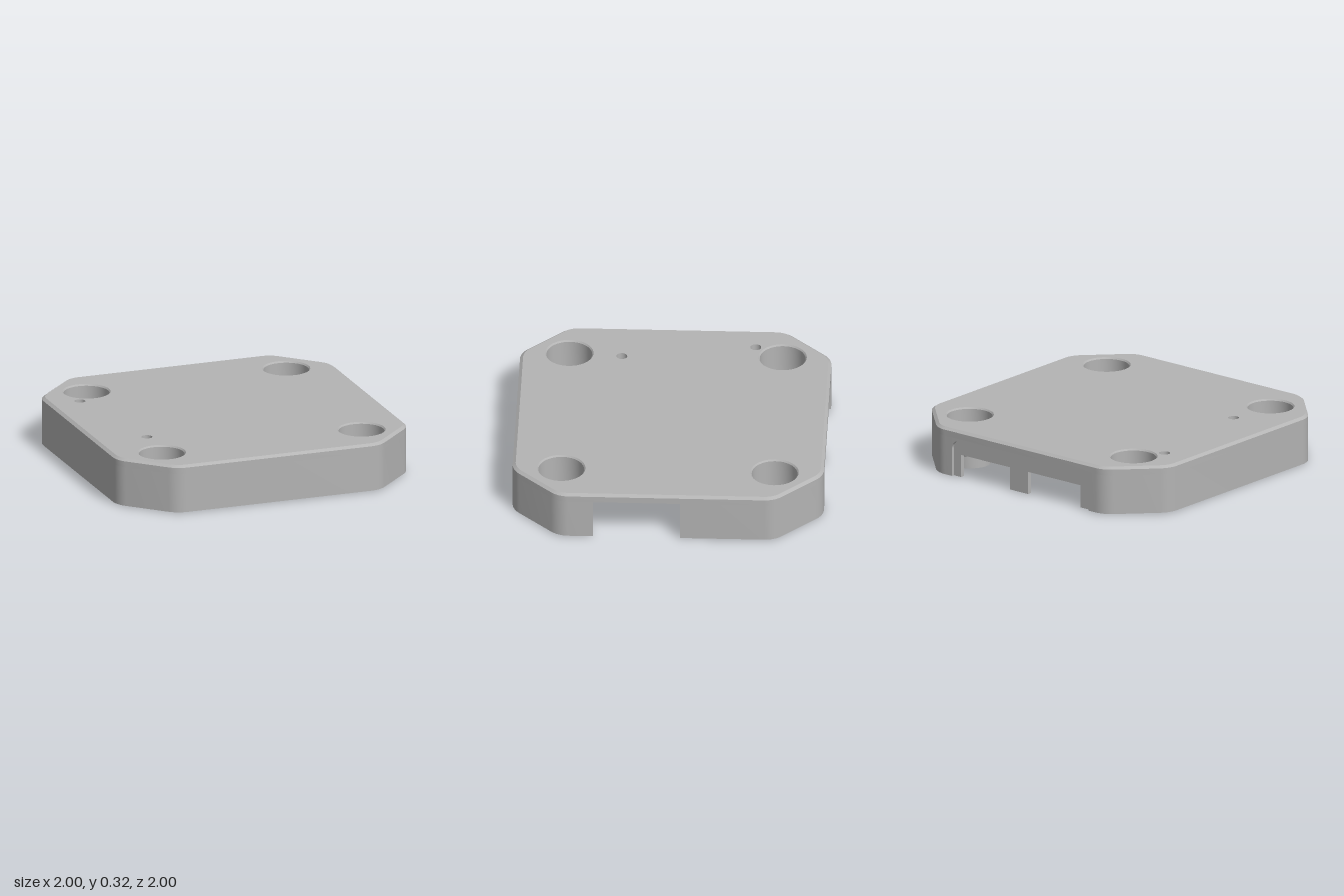
import * as THREE from 'three';
import { toCreasedNormals } from 'three/addons/utils/BufferGeometryUtils.js';

const TOP = 0.32, EDGE = 0.305, ROOF = 0.265, RIM = 0.006; // key heights
const WALL = 0.05, POST = 0.685;
const LED_HOLES = [[-0.797, -0.508], [-0.66, 0.347]];

// One rounded, 45-degree cut corner, inset by d; plan coordinates are (x, -z)
function corner(k, d) {
  const h = 1 - d, c = 1.695 - Math.SQRT2 * d - h, r = 0.16 - d, t = r * Math.tan(Math.PI / 8);
  const pts = [];
  for (const [cx, cy, a0] of [[h - r, c - t, 0], [c - t, h - r, Math.PI / 4]]) {
    for (let i = 0; i <= 8; i++) {
      const a = a0 + (i / 8) * Math.PI / 4;
      pts.push(new THREE.Vector2(cx + r * Math.cos(a), cy + r * Math.sin(a))
        .rotateAround(new THREE.Vector2(), k * Math.PI / 2));
    }
  }
  return pts;
}

const outline = (d) => [0, 1, 2, 3].flatMap((k) => corner(k, d));

// Lid outline with post bores and the two small holes
function lidShape(d, boreRadius) {
  const shape = new THREE.Shape(outline(d));
  const hole = (x, z, r) => shape.holes.push(new THREE.Path().absarc(x, -z, r, 0, Math.PI * 2, true));
  for (const x of [-POST, POST]) for (const z of [-POST, POST]) hole(x, z, boreRadius);
  for (const [x, z] of LED_HOLES) hole(x, z, 0.035);
  return shape;
}

// Upright prism over a plan shape
function prism(shape, y0, y1) {
  const g = new THREE.ExtrudeGeometry(shape, { depth: y1 - y0, bevelEnabled: false, curveSegments: 24 });
  return toCreasedNormals(g.rotateX(-Math.PI / 2).translate(0, y0, 0), 0.5);
}

// Plan of a wall running round the listed corners
function wallShape(corners, start, end) {
  const outer = corners.flatMap((k) => corner(k, 0));
  const inner = corners.flatMap((k) => corner(k, WALL)).reverse();
  const v = (p) => new THREE.Vector2(...p);
  return new THREE.Shape([v(start[0]), ...outer, v(end[0]), v(end[1]), ...inner, v(start[1])]);
}

// Sloping band between the side wall and the top face
function chamferBand() {
  const low = outline(0), high = outline(0.02), n = low.length, pos = [], idx = [];
  for (let i = 0; i < n; i++) {
    pos.push(low[i].x, EDGE, -low[i].y, high[i].x, TOP, -high[i].y);
    const a = 2 * i, b = 2 * ((i + 1) % n);
    idx.push(a, b, b + 1, a, b + 1, a + 1);
  }
  const g = new THREE.BufferGeometry();
  g.setAttribute('position', new THREE.Float32BufferAttribute(pos, 3));
  g.setIndex(idx);
  return toCreasedNormals(g, 0.5);
}

export function createModel() {
  const group = new THREE.Group();
  const grey = new THREE.MeshStandardMaterial({ color: 0xb4b4b4 });
  grey.name = 'grey plastic';
  const add = (name, geometry) => {
    const mesh = new THREE.Mesh(geometry, grey);
    mesh.name = name;
    group.add(mesh);
    return mesh;
  };

  // Lid
  add('lidPlate', prism(lidShape(0, 0.16), ROOF, EDGE));
  add('lidChamfer', chamferBand());
  add('lidTop', new THREE.ShapeGeometry(lidShape(0.02, 0.155), 24).rotateX(-Math.PI / 2).translate(0, TOP, 0));
  for (const [x, z] of LED_HOLES) {
    const bore = new THREE.LatheGeometry([new THREE.Vector2(0.035, TOP), new THREE.Vector2(0.035, ROOF)], 24);
    add('smallHoleBore', bore).position.set(x, 0, z);
  }

  // Side walls, open at the side port and the back recess
  const i = 1 - WALL;
  add('cornerWall', prism(wallShape([0], [[1, 0.09], [i, 0.09]], [[0.57, 1], [0.57, i]]), RIM, ROOF));
  add('mainWall', prism(wallShape([1, 2, 3], [[-0.57, 1], [-0.57, i]], [[1, -0.47], [i, -0.47]]), RIM, ROOF));

  // Outer skin above the round-cornered back recess
  const arch = new THREE.Shape();
  arch.moveTo(-0.57, ROOF);
  arch.lineTo(-0.57, 0.19);
  arch.absarc(-0.51, 0.19, 0.06, Math.PI, Math.PI / 2, true);
  arch.absarc(0.51, 0.19, 0.06, Math.PI / 2, 0, true);
  arch.lineTo(0.57, ROOF);
  arch.closePath();
  const skin = new THREE.ExtrudeGeometry(arch, { depth: 0.02, bevelEnabled: false });
  add('recessArch', toCreasedNormals(skin.translate(0, 0, -1), 0.5));

  // Thin inner wall with two connector notches
  const notched = new THREE.Shape([
    [-0.57, ROOF], [-0.57, RIM], [-0.49, RIM], [-0.49, 0.155], [-0.05, 0.155], [-0.05, RIM],
    [0.1, RIM], [0.1, 0.155], [0.51, 0.155], [0.51, RIM], [0.57, RIM], [0.57, ROOF],
  ].map((p) => new THREE.Vector2(...p)));
  const inner = new THREE.ExtrudeGeometry(notched, { depth: 0.03, bevelEnabled: false });
  add('notchedWall', inner.translate(0, 0, -0.98));

  // Counterbored screw posts
  const profile = [
    [0.155, TOP], [0.147, 0.31], [0.147, 0.11], [0.083, 0.11], [0.083, 0],
    [0.14, 0], [0.14, 0.08], [0.187, 0.14], [0.187, ROOF],
  ].map((p) => new THREE.Vector2(...p));
  const post = toCreasedNormals(new THREE.LatheGeometry(profile, 48), 0.5);
  for (const x of [-POST, POST]) for (const z of [-POST, POST]) add('screwPost', post).position.set(x, 0, z);

  return group;
}
